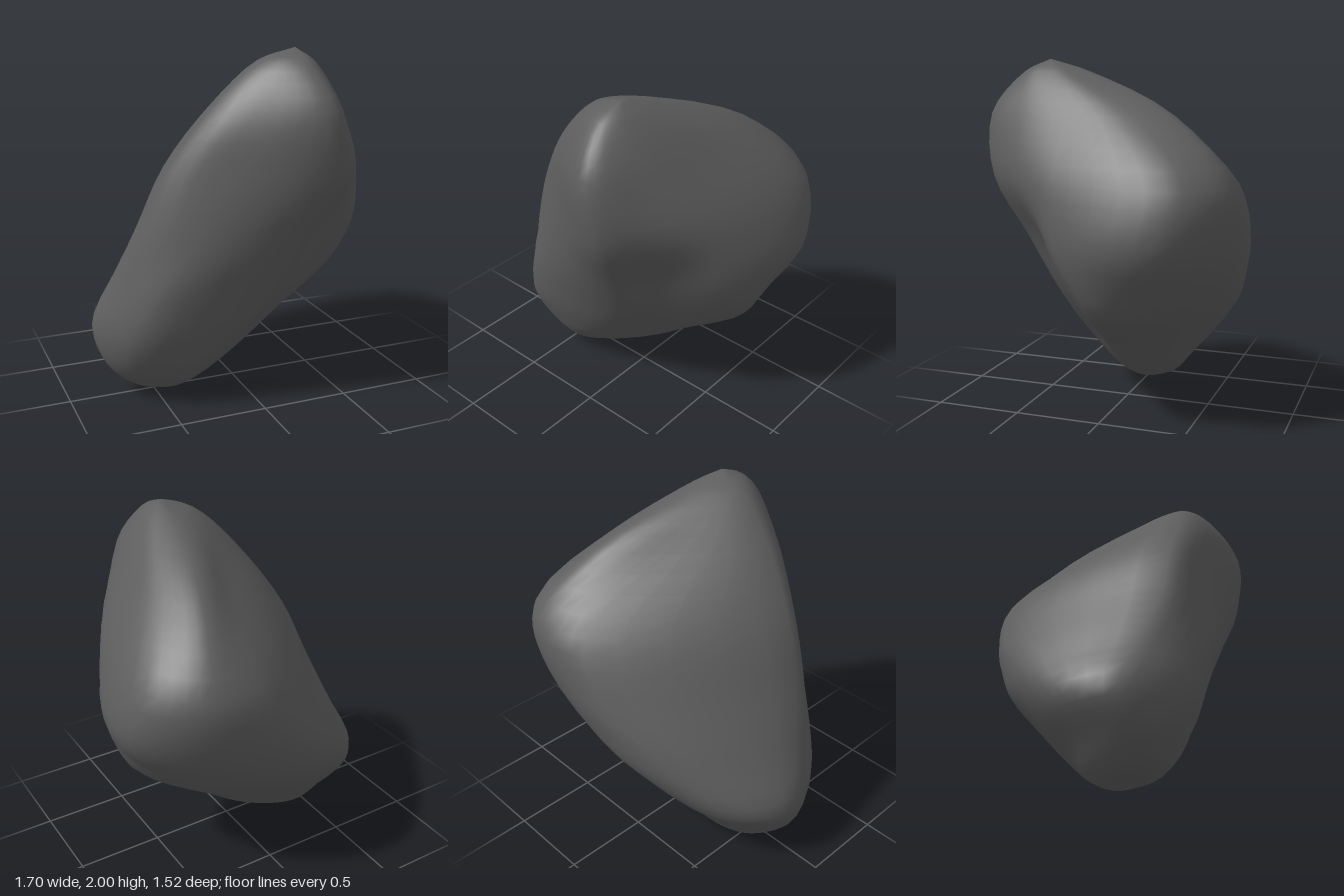
import * as THREE from 'three';
import { mergeVertices } from 'three/addons/utils/BufferGeometryUtils.js';

// Horizontal sections: height, then x,z pairs running
// left, front-left, front ridge, front hollow, right, back-right, back, back-left.
const SECTIONS = [
  [0.06, -0.64, -0.02, -0.57, 0.10, -0.42, 0.15, -0.29, 0.08, -0.20, -0.05, -0.27, -0.14, -0.40, -0.19, -0.56, -0.14],
  [0.20, -0.78, 0.00, -0.66, 0.20, -0.34, 0.27, -0.09, 0.13, 0.07, -0.06, -0.03, -0.22, -0.25, -0.31, -0.60, -0.24],
  [0.40, -0.84, -0.06, -0.65, 0.31, -0.11, 0.33, 0.12, 0.14, 0.33, -0.04, 0.20, -0.32, -0.20, -0.48, -0.64, -0.38],
  [0.68, -0.74, 0.06, -0.54, 0.39, 0.09, 0.42, 0.33, 0.22, 0.70, -0.05, 0.52, -0.44, 0.00, -0.67, -0.41, -0.54],
  [1.00, -0.62, 0.18, -0.35, 0.46, 0.19, 0.56, 0.42, 0.34, 0.73, 0.15, 0.83, -0.40, 0.50, -0.70, -0.03, -0.71],
  [1.35, -0.48, 0.24, -0.23, 0.49, 0.29, 0.71, 0.51, 0.51, 0.69, 0.18, 0.77, -0.48, 0.52, -0.73, 0.17, -0.67],
  [1.70, -0.24, 0.32, -0.03, 0.57, 0.27, 0.73, 0.42, 0.50, 0.50, 0.20, 0.52, -0.15, 0.38, -0.39, 0.10, -0.16],
  [1.93, 0.00, 0.36, 0.07, 0.49, 0.20, 0.55, 0.27, 0.49, 0.30, 0.38, 0.30, 0.25, 0.22, 0.15, 0.08, 0.23],
];
const BOTTOM = new THREE.Vector3(-0.48, 0, -0.06);
const TOP = new THREE.Vector3(0.2, 2, 0.39);
const SIDES = 8, AROUND = 40, UP = 36;

function boulderGeometry() {
  // One smooth curve from bottom to top for each section corner
  const columns = [];
  for (let k = 0; k < SIDES; k++) {
    const points = SECTIONS.map((s) => new THREE.Vector3(s[1 + 2 * k], s[0], s[2 + 2 * k]));
    columns.push(new THREE.CatmullRomCurve3([BOTTOM, ...points, TOP]));
  }

  // Closed loops through those curves
  const positions = [], index = [];
  for (let j = 0; j <= UP; j++) {
    const corners = columns.map((c) => c.getPoint(j / UP));
    const pole = j === 0 ? BOTTOM : j === UP ? TOP : null;
    const loop = pole ? null : new THREE.CatmullRomCurve3(corners, true);
    for (let i = 0; i < AROUND; i++) {
      const p = pole || loop.getPoint(i / AROUND);
      positions.push(p.x, p.y, p.z);
    }
  }

  // Skin between loops, with single triangles at the poles
  for (let j = 0; j < UP; j++) {
    for (let i = 0; i < AROUND; i++) {
      const n = (i + 1) % AROUND;
      const a = j * AROUND + i, b = j * AROUND + n;
      const c = b + AROUND, d = a + AROUND;
      if (j > 0) index.push(a, b, c);
      if (j < UP - 1) index.push(a, c, d);
    }
  }
  const geometry = new THREE.BufferGeometry();
  geometry.setAttribute('position', new THREE.Float32BufferAttribute(positions, 3));
  geometry.setIndex(index);
  const merged = mergeVertices(geometry);
  merged.computeVertexNormals();
  return merged;
}

export function createModel() {
  const group = new THREE.Group();
  group.name = 'rock';
  const stone = new THREE.MeshStandardMaterial({ color: 0x5e5e5e });
  stone.name = 'dark grey stone';
  const boulder = new THREE.Mesh(boulderGeometry(), stone);
  boulder.name = 'boulder';
  group.add(boulder);
  return group;
}
